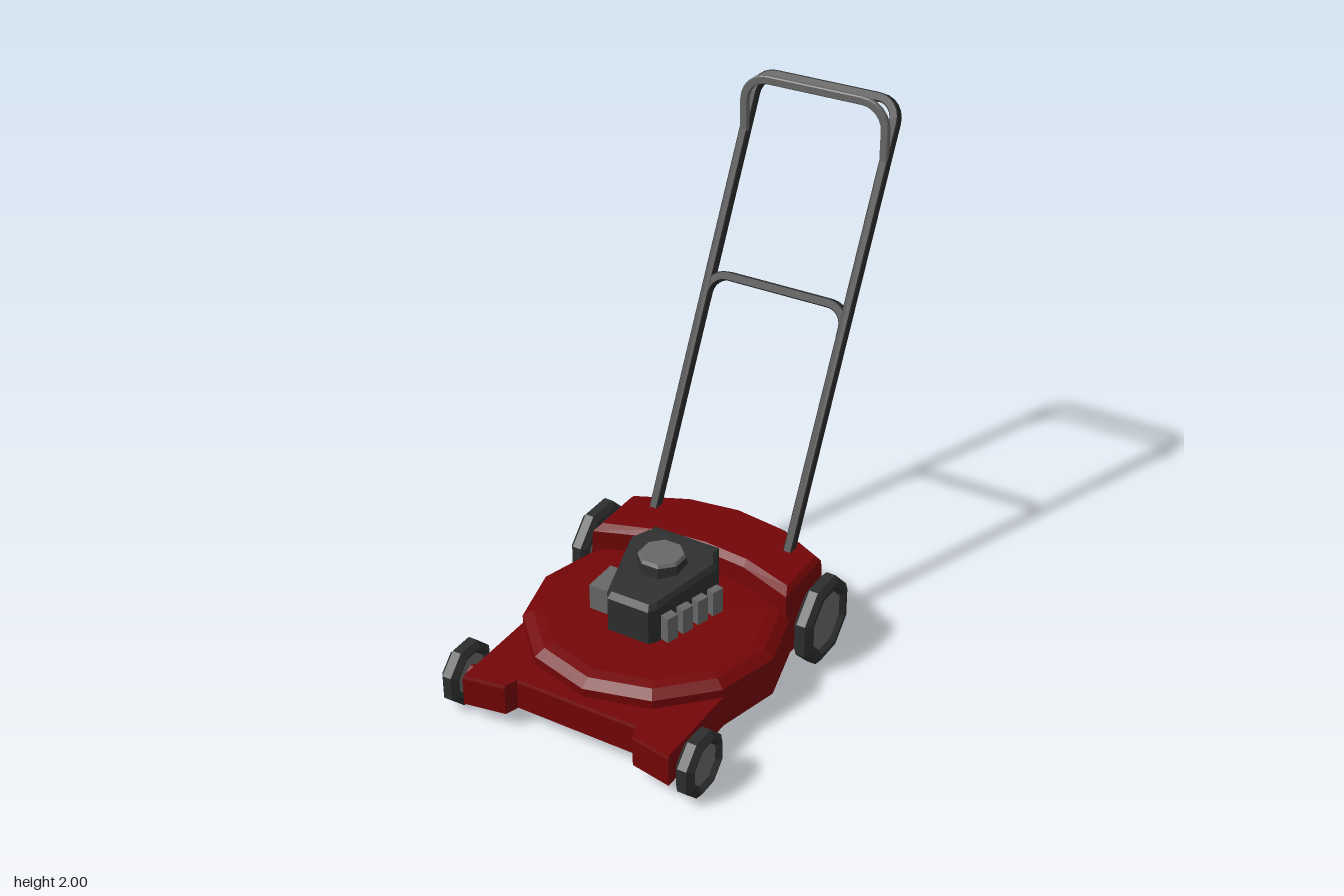
import * as THREE from 'three';

const material = (name, color, side = THREE.FrontSide) => {
  const m = new THREE.MeshStandardMaterial({ color, side });
  m.name = name;
  return m;
};

// Faceted normals
const flat = (geo) => {
  const g = geo.index ? geo.toNonIndexed() : geo;
  g.computeVertexNormals();
  return g;
};

// Mirrors a half outline of [x, z] points, given from front to back on +x
const mirrored = (half) => [
  ...half,
  ...half.slice().reverse().filter(([x]) => x > 0).map(([x, z]) => [-x, z]),
];

// One level of a loft: outline scaled about z = cz, with height y or y(z)
const level = (outline, y, s = 1, cz = 0) => outline.map(([x, z]) => {
  const pz = cz + (z - cz) * s;
  return [x * s, typeof y === 'function' ? y(pz) : y, pz];
});

// Joins levels with walls and closes the last one, optionally around a hole
function loft(levels, hole = null) {
  const pos = [];
  const tri = (a, b, c) => pos.push(...a, ...b, ...c);
  for (let k = 0; k < levels.length - 1; k++) {
    const lo = levels[k], hi = levels[k + 1], n = lo.length;
    for (let i = 0; i < n; i++) {
      const j = (i + 1) % n;
      tri(lo[i], lo[j], hi[j]);
      tri(lo[i], hi[j], hi[i]);
    }
  }
  const top = levels[levels.length - 1];
  const to2 = (p) => new THREE.Vector2(p[0], -p[2]);
  const all = hole ? [...top, ...hole] : top;
  THREE.ShapeUtils.triangulateShape(top.map(to2), hole ? [hole.map(to2)] : [])
    .forEach(([a, b, c]) => tri(all[a], all[b], all[c]));
  const g = new THREE.BufferGeometry();
  g.setAttribute('position', new THREE.Float32BufferAttribute(pos, 3));
  g.computeVertexNormals();
  return g;
}

// Inverted U bar with rounded corners and bevelled section, legs starting at y0
function hoop(w, y0, y1, r, t, depth) {
  const s = new THREE.Shape(), i = w - t, top = y1 - t, ri = r - t;
  s.moveTo(w, y0).lineTo(w, y1 - r);
  s.absarc(w - r, y1 - r, r, 0, Math.PI / 2, false);
  s.absarc(-w + r, y1 - r, r, Math.PI / 2, Math.PI, false);
  s.lineTo(-w, y0).lineTo(-i, y0);
  s.absarc(-i + ri, top - ri, ri, Math.PI, Math.PI / 2, true);
  s.absarc(i - ri, top - ri, ri, Math.PI / 2, 0, true);
  s.lineTo(i, y0);
  const b = 0.004;
  return flat(new THREE.ExtrudeGeometry(s, {
    depth: depth - 2 * b, bevelEnabled: true, bevelSize: b, bevelOffset: -b,
    bevelThickness: b, bevelSegments: 1, curveSegments: 3,
  }).translate(0, 0, -depth / 2 + b));
}

export function createModel() {
  const root = new THREE.Group();
  root.name = 'lawnMower';
  const red = material('red paint', 0x730507, THREE.DoubleSide);
  const black = material('black rubber and plastic', 0x2d2e2e);
  const rail = material('dark handle metal', 0x2b2b2c);
  const grey = material('grey metal', 0x686868);

  const add = (name, geo, mat, x = 0, y = 0, z = 0, parent = root) => {
    const m = new THREE.Mesh(geo, mat);
    m.name = name;
    m.position.set(x, y, z);
    parent.add(m);
    return m;
  };
  const box = (x, y, z) => new THREE.BoxGeometry(x, y, z);

  // Deck skirt
  const skirt = mirrored([[0, 0.89], [0.262, 0.89], [0.28, 0.945], [0.45, 0.975], [0.45, 0.585],
    [0.515, 0.33], [0.45, 0.075], [0.45, -0.19], [0.22, -0.3], [0, -0.335]]);
  const ring = (y) => Array.from({ length: 12 }, (_, i) => {
    const a = (i * Math.PI) / 6;
    return [0.4 * Math.sin(a), y, 0.33 + 0.4 * Math.cos(a)];
  });
  add('deckSkirt', loft([level(skirt, 0.07), level(skirt, 0.188), level(skirt, 0.2, 0.993, 0.3)], ring(0.2)), red);

  // Underside sloping up to the round blade chamber
  add('deckUnderside', loft([level(skirt, 0.07)], ring(0.15)), red);
  add('bladeChamberWall', flat(new THREE.CylinderGeometry(0.4, 0.4, 0.116, 12, 1, true)), red, 0, 0.208, 0.33);

  // Twelve-sided dome
  const dome = [[0.515, 0.19], [0.515, 0.235], [0.475, 0.262], [0.43, 0.268], [0, 0.268]]
    .map(([x, y]) => new THREE.Vector2(x, y));
  add('deckDome', flat(new THREE.LatheGeometry(dome, 12)), red, 0, 0, 0.33);

  // Raised rear housing
  const rearLow = mirrored([[0, 0], [0.2, 0.02], [0.447, 0.105], [0.447, -0.19], [0.22, -0.3], [0, -0.333]]);
  const rearMid = mirrored([[0, -0.01], [0.2, 0.01], [0.44, 0.1], [0.44, -0.185], [0.22, -0.293], [0, -0.322]]);
  const rearTop = mirrored([[0, -0.04], [0.2, -0.02], [0.42, 0.055], [0.42, -0.175], [0.21, -0.272], [0, -0.302]]);
  add('rearHousing', loft([level(rearLow, 0.2), level(rearMid, 0.345), level(rearTop, 0.365)]), red);

  // Wheels with recessed hubs and axle stubs
  const wheel = (name, side, apothem, hubApothem, z) => {
    const g = new THREE.Group();
    g.name = name;
    g.position.set(side * 0.513, apothem + 0.005, z);
    root.add(g);
    const k = Math.cos(Math.PI / 8), R = apothem / k, h = hubApothem / k, w = 0.037;
    const profile = [[h, -w * 0.5], [h + 0.016, -w], [R - 0.024, -w], [R, -w * 0.5],
      [R, w * 0.5], [R - 0.024, w], [h + 0.016, w], [h, w * 0.5]]
      .map(([x, y]) => new THREE.Vector2(x, y));
    const turn = (geo) => flat(geo.rotateZ(-Math.PI / 2));
    add('tyre', turn(new THREE.LatheGeometry(profile, 8, Math.PI / 8)), black, 0, 0, 0, g);
    add('hub', turn(new THREE.CylinderGeometry(h, h, w * 1.1, 8, 1, false, Math.PI / 8)), grey, 0, 0, 0, g);
    add('axle', turn(new THREE.CylinderGeometry(0.037, 0.037, 0.05, 8)), red, -side * 0.04, 0, 0, g);
  };
  for (const side of [1, -1]) {
    const label = side > 0 ? 'Left' : 'Right';
    wheel(`front${label}Wheel`, side, 0.122, 0.078, 0.868);
    wheel(`rear${label}Wheel`, side, 0.17, 0.114, -0.056);
  }

  // Engine shroud, tapering to the front with a sloping top
  const plan = mirrored([[0.09, 0.53], [0.11, 0.5], [0.195, 0.2], [0.155, 0.13]]);
  const slope = (base) => (z) => base + (0.53 - z) * 0.12;
  add('engineShroud', loft([
    level(plan, 0.265), level(plan, slope(0.412)), level(plan, slope(0.434), 0.92, 0.3),
  ]), black);
  add('engineBackPlate', box(0.29, 0.17, 0.04), black, 0, 0.385, 0.122);
  add('starterHousing', flat(new THREE.CylinderGeometry(0.095, 0.104, 0.06, 8, 1, false, Math.PI / 8)),
    black, 0, 0.465, 0.285);
  add('starterCap', flat(new THREE.CylinderGeometry(0.086, 0.095, 0.014, 8, 1, false, Math.PI / 8)),
    grey, 0, 0.501, 0.285);

  // Cooling fins on the left and muffler on the right
  for (let i = 0; i < 4; i++) {
    const z = 0.225 + i * 0.077;
    add('coolingFin', box(0.08, 0.108, 0.052), grey, 0.19 - (z - 0.19) * 0.26, 0.326, z)
      .rotation.y = -0.28;
  }
  add('muffler', box(0.1, 0.108, 0.15), grey, -0.172, 0.326, 0.38);

  // Blade and spindle below the deck
  add('spindle', flat(new THREE.CylinderGeometry(0.13, 0.13, 0.06, 6)), black, 0, 0.235, 0.33);
  add('blade', box(0.4, 0.015, 0.07), black, 0, 0.2, 0.33).rotation.y = 0.6;

  // Push handle leaning back, with its cross bar
  const handle = new THREE.Group();
  handle.name = 'handle';
  handle.position.set(0, 0.36, -0.165);
  handle.rotation.x = -0.4686;
  root.add(handle);
  add('handleFrame', hoop(0.327, -0.03, 1.81, 0.1, 0.036, 0.044), rail, 0, 0, 0, handle);
  add('handleCrossBar', hoop(0.326, 0.86, 0.996, 0.1, 0.036, 0.042), rail, 0, 0, 0, handle);

  // Upright control bar
  add('controlBar', hoop(0.325, 1.75, 2, 0.12, 0.034, 0.024), grey, 0, 0, -0.86);

  return root;
}
